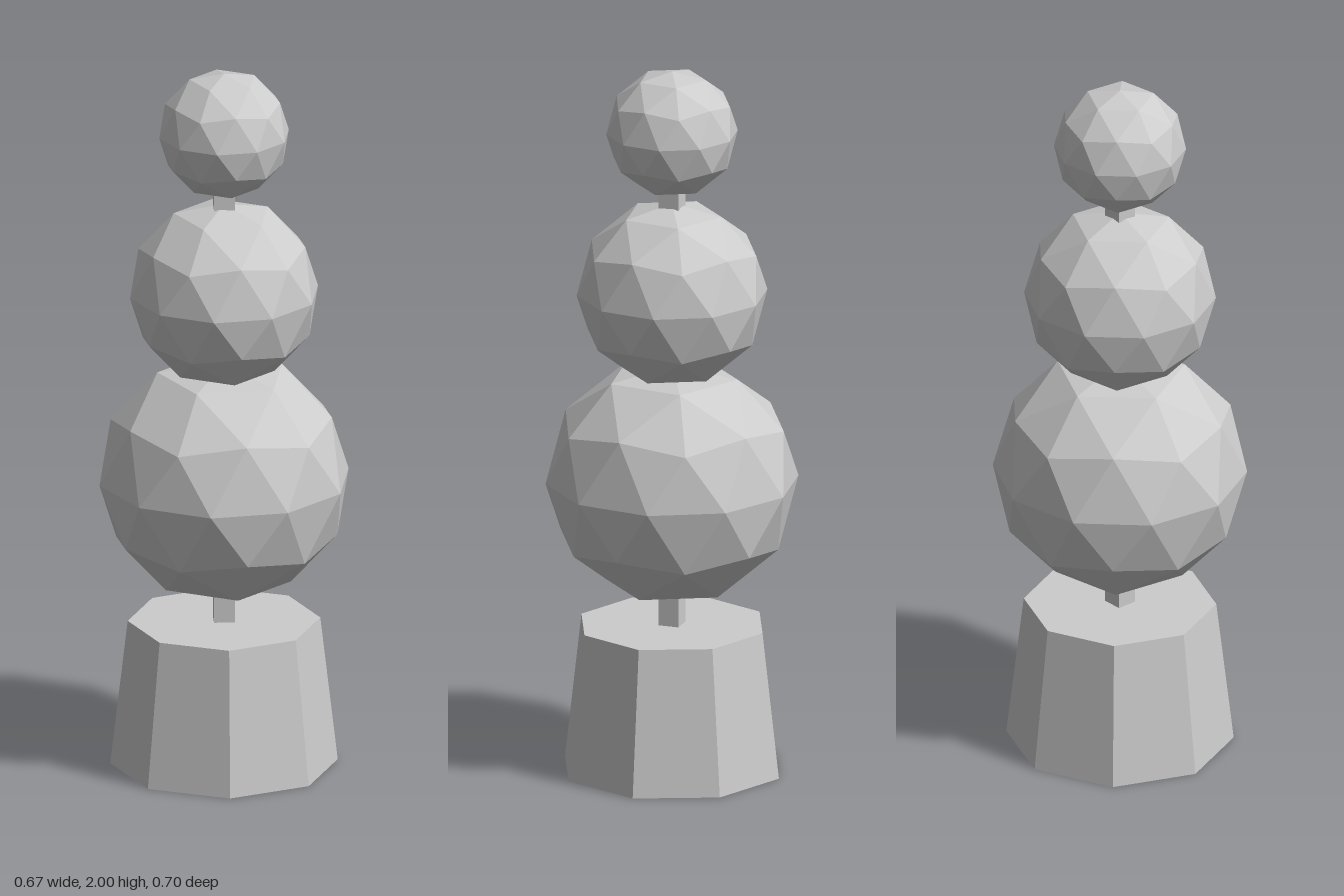
import * as THREE from 'three';

export function createModel() {
  const model = new THREE.Group();
  model.name = 'topiary';
  const grey = new THREE.MeshStandardMaterial({ color: 0xcccccc, flatShading: true });
  grey.name = 'light grey';

  const add = (name, geometry, y) => {
    const mesh = new THREE.Mesh(geometry, grey);
    mesh.name = name;
    mesh.position.y = y;
    model.add(mesh);
  };

  // Faceted foliage ball standing on a corner, with slightly flattened poles
  const ball = (radius, poleHeight) => {
    const g = new THREE.IcosahedronGeometry(radius, 1);
    g.rotateZ(Math.atan(2 / (1 + Math.sqrt(5))));
    g.rotateY(Math.PI);
    const p = g.attributes.position;
    for (let i = 0; i < p.count; i++) {
      const y = p.getY(i);
      if (Math.abs(y) > radius * 0.95) p.setY(i, Math.sign(y) * poleHeight);
    }
    g.computeVertexNormals();
    return g;
  };

  // Eight-sided tapered pot
  add('pot', new THREE.CylinderGeometry(0.265, 0.313, 0.413, 8), 0.2065);

  // Four-sided trunk through all the balls
  add('trunk', new THREE.CylinderGeometry(0.041, 0.041, 1.4, 4), 1.1);

  // Foliage, from large to small
  add('lowerFoliage', ball(0.35, 0.328), 0.827);
  add('middleFoliage', ball(0.264, 0.256), 1.365);
  add('upperFoliage', ball(0.182, 0.175), 1.825);

  return model;
}
